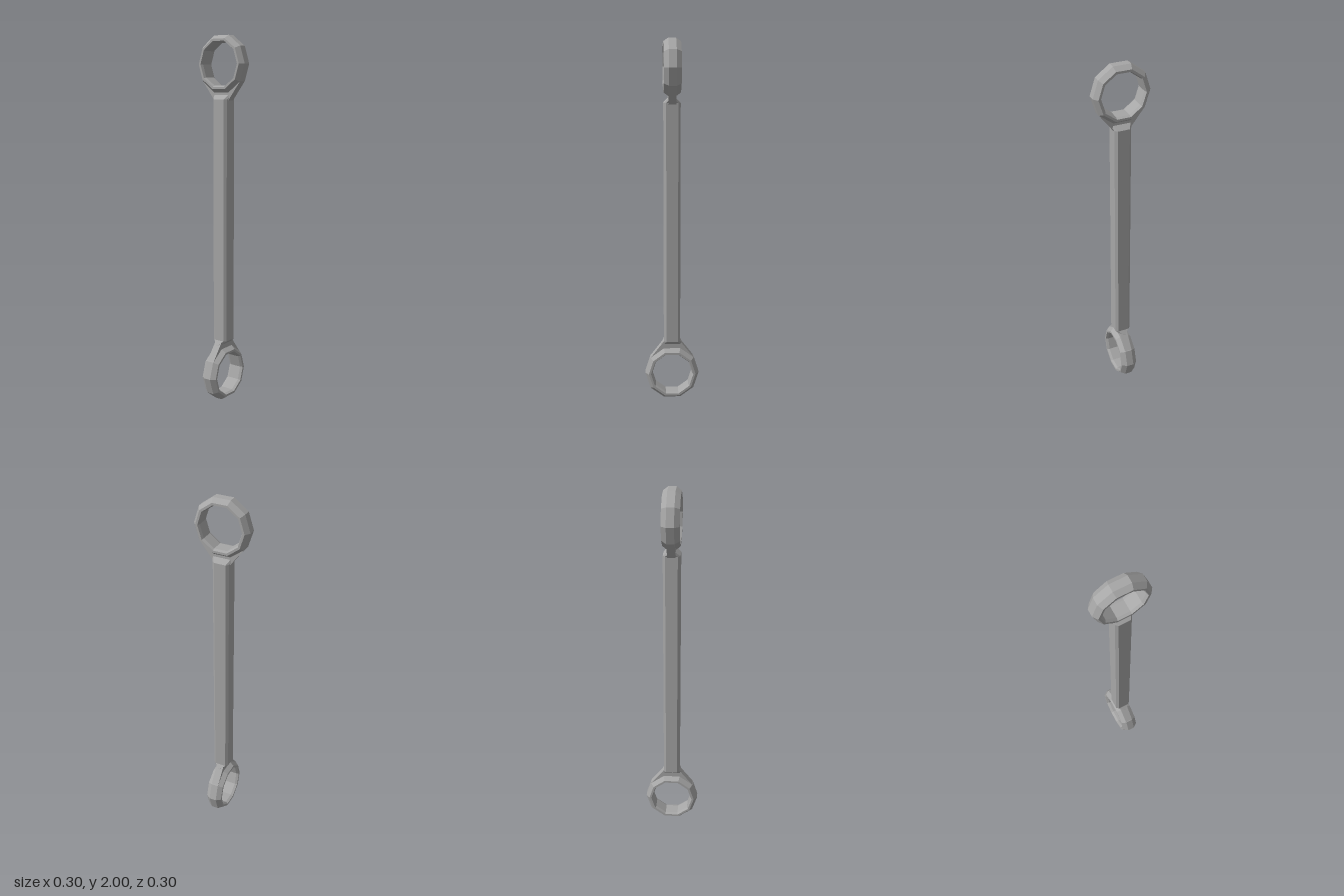
import * as THREE from 'three';

const steel = new THREE.MeshStandardMaterial({ color: 0xa6a6a6, flatShading: true });
steel.name = 'steel grey';

function part(name, geometry) {
  const mesh = new THREE.Mesh(geometry, steel);
  mesh.name = name;
  return mesh;
}

// Chamfered rectangular bar lofted through [y, halfX, halfZ] sections
function loft(sections) {
  const c = 0.013;
  const pos = [];
  const loops = sections.map(([y, x, z]) => [
    [c - x, z], [x - c, z], [x, z - c], [x, c - z],
    [x - c, -z], [c - x, -z], [-x, c - z], [-x, z - c],
  ].map(([px, pz]) => [px, y, pz]));
  const tri = (a, b, d) => pos.push(...a, ...b, ...d);
  for (let s = 0; s < loops.length - 1; s++) {
    const lo = loops[s], hi = loops[s + 1];
    for (let i = 0; i < 8; i++) {
      const j = (i + 1) % 8;
      tri(lo[i], lo[j], hi[j]);
      tri(lo[i], hi[j], hi[i]);
    }
  }
  const first = loops[0], last = loops[loops.length - 1];
  for (let i = 1; i < 7; i++) {
    tri(last[0], last[i], last[i + 1]);
    tri(first[0], first[i + 1], first[i]);
  }
  const geometry = new THREE.BufferGeometry();
  geometry.setAttribute('position', new THREE.Float32BufferAttribute(pos, 3));
  geometry.computeVertexNormals();
  return geometry;
}

// Ten-sided bevelled eye in the xy plane, with its neck pointing up
function createEye(name) {
  const eye = new THREE.Group();
  eye.name = name;

  const profile = [
    [0.151, -0.02], [0.151, 0.02], [0.132, 0.046], [0.12, 0.046],
    [0.114, 0.032], [0.114, -0.032], [0.12, -0.046], [0.132, -0.046], [0.151, -0.02],
  ].map(([r, w]) => new THREE.Vector2(r, w));
  const ring = new THREE.LatheGeometry(profile, 10);
  ring.rotateY(Math.PI / 2).rotateX(Math.PI / 2).scale(1, 1.03, 1);
  eye.add(part(name + 'Ring', ring));

  // Flat web spreading from the bar to the sides of the ring
  const web = new THREE.Shape([
    [0.045, 0.19], [-0.045, 0.19], [-0.121, 0.091], [-0.101, 0.076],
    [-0.039, 0.122], [0.039, 0.122], [0.101, 0.076], [0.121, 0.091],
  ].map(([x, y]) => new THREE.Vector2(x, y)));
  const neck = new THREE.ExtrudeGeometry(web, { depth: 0.042, bevelEnabled: false });
  neck.translate(0, 0, -0.021);
  eye.add(part(name + 'Neck', neck));
  return eye;
}

export function createModel() {
  const model = new THREE.Group();
  model.name = 'doubleEyeRod';

  // Bar, pinched in z at the bottom and in x at the top
  model.add(part('shaft', loft([
    [0.28, 0.078, 0.02], [0.32, 0.06, 0.02], [0.342, 0.045, 0.045],
    [1.668, 0.045, 0.045], [1.692, 0.02, 0.06], [1.725, 0.02, 0.078],
  ])));

  const lower = createEye('lowerEye');
  lower.position.y = 0.148;
  model.add(lower);

  // Upper eye is upside down and turned a quarter
  const upper = createEye('upperEye');
  upper.rotation.set(0, Math.PI / 2, Math.PI);
  upper.position.y = 1.852;
  model.add(upper);

  return model;
}
